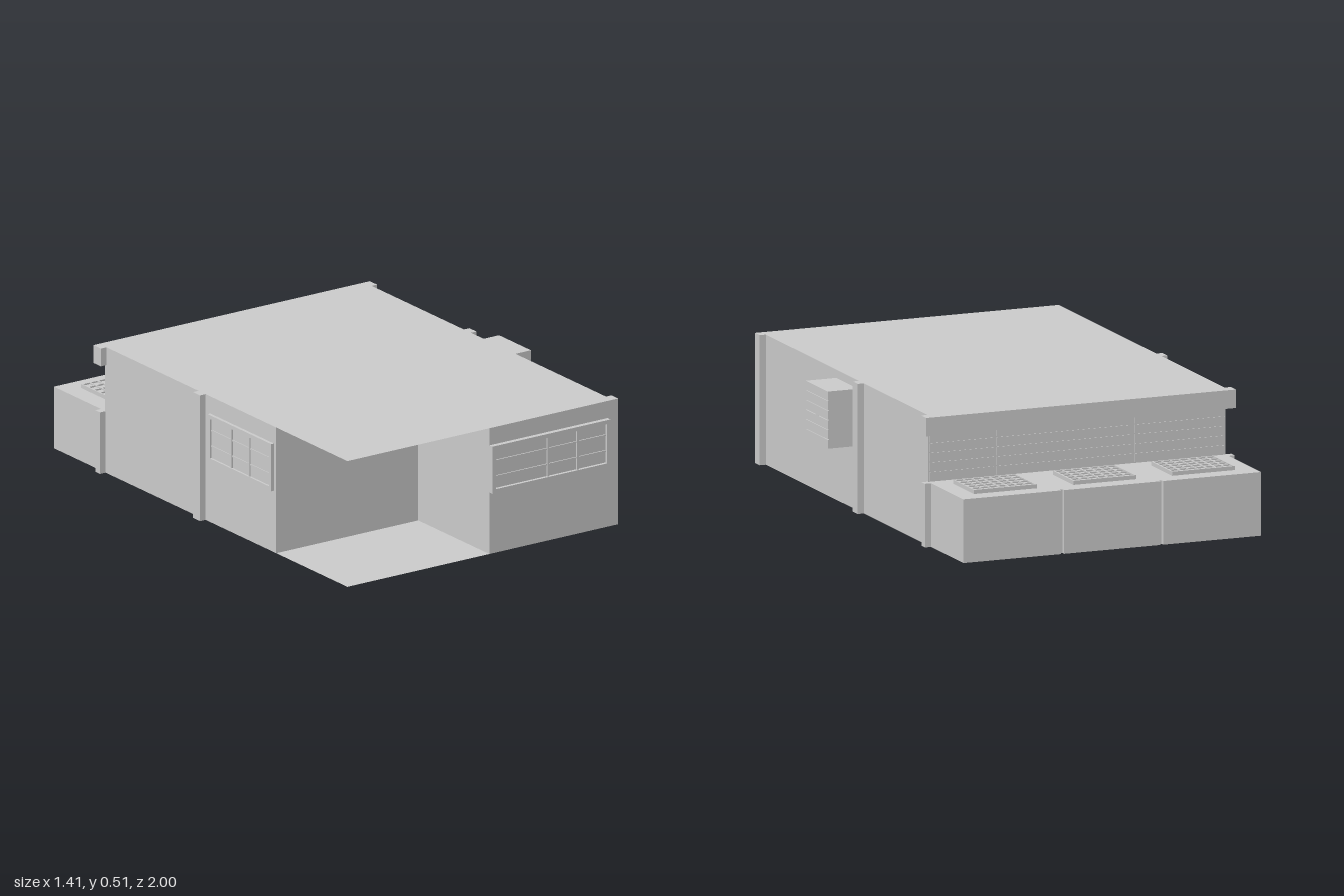
import * as THREE from 'three';

const grey = new THREE.MeshStandardMaterial({ color: 0xcccccc, flatShading: true });
const sheet = new THREE.MeshStandardMaterial({ color: 0xcccccc, flatShading: true, side: THREE.DoubleSide });

// main extents
const L = -0.68, R = 0.572, FRONT = 0.98, BACK = -0.655, H = 0.515;
const NOTCH_X = -0.01, NOTCH_Z = 0.5, COUNTER_H = 0.252;

// box given by its min and max corners
function box(parent, name, x0, x1, y0, y1, z0, z1) {
  const m = new THREE.Mesh(new THREE.BoxGeometry(x1 - x0, y1 - y0, z1 - z0), grey);
  m.position.set((x0 + x1) / 2, (y0 + y1) / 2, (z0 + z1) / 2);
  m.name = name;
  parent.add(m);
  return m;
}

// framed window in the xy plane, facing +z, with its back at z = 0
function makeWindow(name, w, h, d, dividers) {
  const g = new THREE.Group();
  g.name = name;
  const b = 0.016;
  const frame = new THREE.Shape([[0, 0], [w, 0], [w, h], [0, h]].map(p => new THREE.Vector2(...p)));
  frame.holes.push(new THREE.Path([[b, b], [b, h - b], [w - b, h - b], [w - b, b]].map(p => new THREE.Vector2(...p))));
  const mesh = new THREE.Mesh(new THREE.ExtrudeGeometry(frame, { depth: d, bevelEnabled: false }), grey);
  mesh.name = 'windowFrame';
  g.add(mesh);
  box(g, 'windowPane', b, w - b, b, h - b, 0, d * 0.35);
  for (const f of dividers) box(g, 'windowMullion', f * w - 0.004, f * w + 0.004, b, h - b, 0, d * 0.75);
  for (const f of [1 / 3, 2 / 3]) box(g, 'windowBar', b, w - b, f * h - 0.003, f * h + 0.003, 0, d * 0.6);
  return g;
}

// tray with a grid of shallow square cells
function makeTray(x0, x1, z0, z1) {
  const g = new THREE.Group();
  g.name = 'counterTray';
  const y = COUNTER_H, cols = 7, rows = 5, t = 0.006;
  box(g, 'trayBase', x0, x1, y, y + 0.01, z0, z1);
  for (let i = 0; i <= cols; i++) {
    const x = x0 + (x1 - x0 - t) * i / cols;
    box(g, 'trayRib', x, x + t, y + 0.01, y + 0.016, z0, z1);
  }
  for (let j = 0; j <= rows; j++) {
    const z = z0 + (z1 - z0 - t) * j / rows;
    box(g, 'trayCrossRib', x0, x1, y + 0.01, y + 0.016, z, z + t);
  }
  return g;
}

export function createModel() {
  const model = new THREE.Group();
  model.name = 'shopBuilding';

  // walls: L-shaped footprint, open at the front right corner
  const plan = new THREE.Shape([
    [L, -NOTCH_Z], [NOTCH_X, -NOTCH_Z], [NOTCH_X, -FRONT], [R, -FRONT], [R, -BACK], [L, -BACK],
  ].map(p => new THREE.Vector2(...p)));
  const walls = new THREE.Mesh(new THREE.ExtrudeGeometry(plan, { depth: H, bevelEnabled: false }), grey);
  walls.rotation.x = -Math.PI / 2;
  walls.name = 'walls';
  model.add(walls);

  // thin roof and floor over the open corner
  for (const [name, y] of [['porchRoof', H], ['porchFloor', 0]]) {
    const m = new THREE.Mesh(new THREE.PlaneGeometry(NOTCH_X - L, FRONT - NOTCH_Z), sheet);
    m.rotation.x = -Math.PI / 2;
    m.position.set((L + NOTCH_X) / 2, y, (FRONT + NOTCH_Z) / 2);
    m.name = name;
    model.add(m);
  }

  // pillars on the side walls
  const out = 0.026;
  box(model, 'cornerPillar', R, R + out, 0, H, 0.935, FRONT);
  for (const [x0, x1] of [[L - out, L], [R, R + out]]) {
    box(model, 'sidePillar', x0, x1, 0, H, -0.024, 0.024);
    box(model, 'counterPillar', x0, x1, 0, COUNTER_H, -0.682, -0.65);
  }

  // cornice over the serving side
  box(model, 'cornice', L - out, R + out, 0.442, H, -0.695, BACK);
  box(model, 'corniceEndLeft', R, R + out, 0.442, H, BACK, -0.645);
  box(model, 'corniceEndRight', L - out, L, 0.442, H, BACK, -0.645);

  // counter, with two narrow grooves dividing its outer face
  const step = (R - L) / 3, gap = 0.006;
  box(model, 'counterCore', L, R, 0, COUNTER_H, -0.985, BACK);
  for (let i = 0; i < 3; i++) {
    box(model, 'counterPanel', L + i * step + (i ? gap : 0), L + (i + 1) * step - (i < 2 ? gap : 0),
      0, COUNTER_H, -1, -0.985);
  }
  for (const x of [-0.602, -0.186, 0.232]) model.add(makeTray(x, x + 0.264, -0.927, -0.725));

  // shutters behind the counter: shallow slats between posts
  const posts = [L, -0.29, 0.29, R];
  for (let i = 0; i < 3; i++) {
    for (let k = 0; k < 5; k++) {
      const y = COUNTER_H + 0.004 + k * 0.038;
      box(model, 'shutterSlat', posts[i] + 0.006, posts[i + 1] - 0.006, y, y + 0.034, BACK - 0.003, BACK);
    }
  }

  // windows on the front and the right wall
  const frontWindow = makeWindow('frontWindow', 0.558, 0.193, 0.02, [0.48, 0.73]);
  frontWindow.position.set(NOTCH_X, 0.252, FRONT);
  model.add(frontWindow);
  const sideWindow = makeWindow('sideWindow', 0.43, 0.193, 0.013, [0.36, 0.64]);
  sideWindow.rotation.y = -Math.PI / 2;
  sideWindow.position.set(L, 0.252, 0.055);
  model.add(sideWindow);

  // wall unit with a slatted face and a small hub
  const unit = new THREE.Group();
  unit.name = 'wallUnit';
  box(unit, 'unitBody', R, 0.695, 0.256, 0.482, 0.032, 0.247);
  for (let k = 0; k < 6; k++) {
    const y = 0.256 + k * 0.0382;
    box(unit, 'unitSlat', 0.695, 0.699, y, y + 0.035, 0.032, 0.247);
  }
  box(unit, 'unitHub', 0.695, 0.7, 0.357, 0.381, 0.128, 0.152);
  model.add(unit);

  return model;
}
